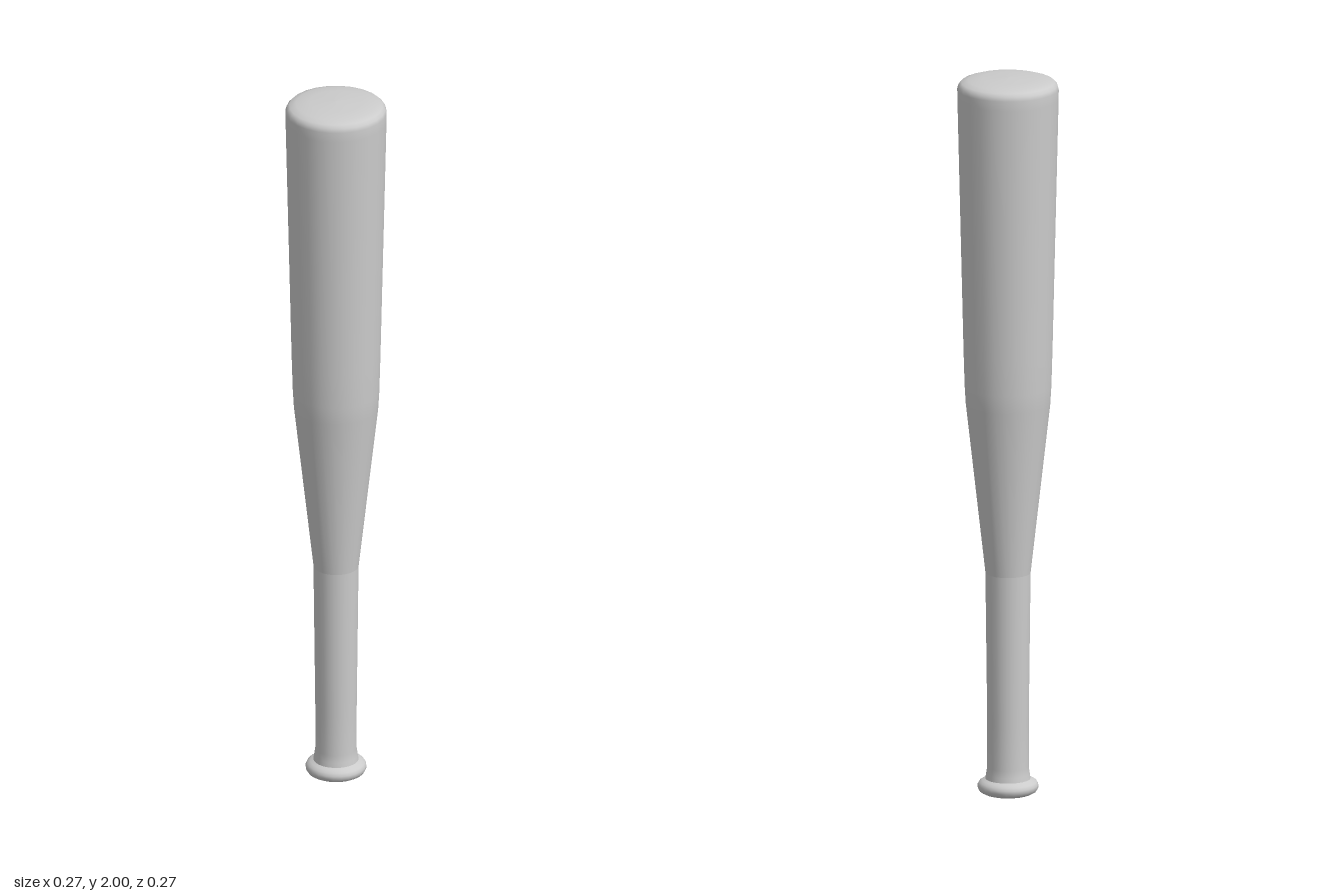
import * as THREE from 'three';

const material = new THREE.MeshStandardMaterial({ color: 0xcccccc });

// Turned part from [radius, height] pairs, listed bottom to top
function turned(name, profile) {
  const points = profile.map(([r, y]) => new THREE.Vector2(r, y));
  const mesh = new THREE.Mesh(new THREE.LatheGeometry(points, 24), material);
  mesh.name = name;
  return mesh;
}

export function createModel() {
  const bat = new THREE.Group();
  bat.name = 'bat';

  // Rounded knob with a slightly domed underside
  bat.add(turned('knob', [
    [0, 0], [0.04, 0.002], [0.066, 0.007], [0.077, 0.013], [0.082, 0.022],
    [0.082, 0.03], [0.078, 0.038], [0.07, 0.043], [0.061, 0.047],
  ]));

  // Slim handle, flaring into the knob
  bat.add(turned('handle', [
    [0.061, 0.047], [0.059, 0.06], [0.056, 0.08], [0.056, 0.2], [0.061, 0.62],
  ]));

  // Taper, barrel and domed end with a rounded rim
  bat.add(turned('barrel', [
    [0.061, 0.62], [0.114, 1.09], [0.117, 1.14], [0.12, 1.24], [0.1365, 1.94],
    [0.137, 1.968], [0.134, 1.979], [0.126, 1.987], [0.108, 1.993],
    [0.07, 1.998], [0, 2],
  ]));

  return bat;
}
